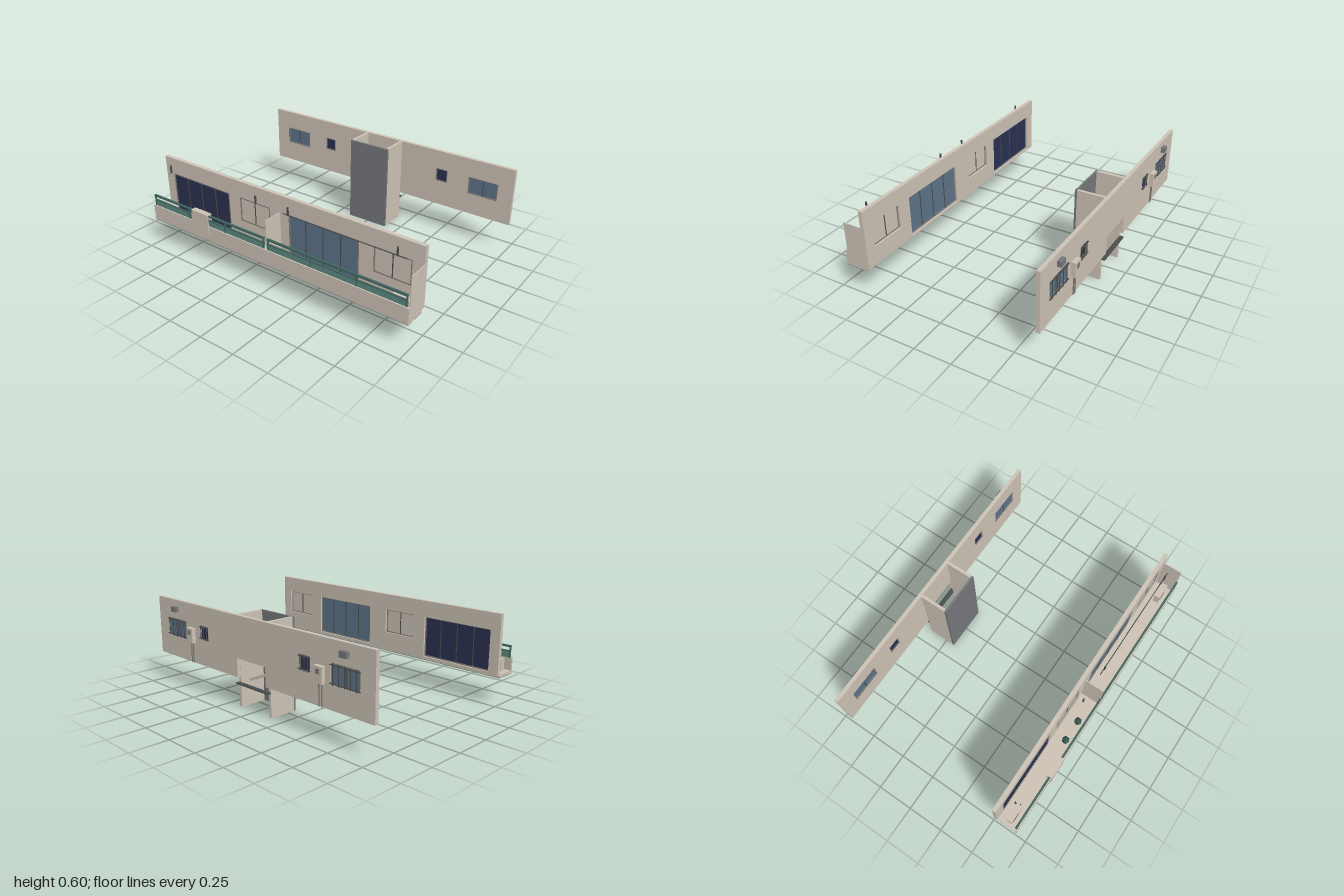
import * as THREE from 'three';

const mat = (name, color, side = THREE.FrontSide) => {
  const m = new THREE.MeshStandardMaterial({ color, side });
  m.name = name;
  return m;
};

export function createModel() {
  const model = new THREE.Group();
  model.name = 'apartmentFloor';
  const M = {
    wall: mat('beige wall', 0xccc2b5),
    concrete: mat('grey concrete', 0x74777a),
    frame: mat('window frame grey', 0x827e76),
    metal: mat('dark metal', 0x4a4d4d),
    navy: mat('navy glass', 0x2b3150),
    blue: mat('blue glass', 0x5c7388),
    teal: mat('teal panel', 0x5d8a81),
    rail: mat('dark teal rail', 0x41655f),
    leaf: mat('leaf green', 0x35574d),
  };

  // box given by its two corners
  const box = (name, m, x0, x1, y0, y1, z0, z1, parent = model) => {
    const mesh = new THREE.Mesh(new THREE.BoxGeometry(x1 - x0, y1 - y0, z1 - z0), m);
    mesh.position.set((x0 + x1) / 2, (y0 + y1) / 2, (z0 + z1) / 2);
    mesh.name = name;
    parent.add(mesh);
    return mesh;
  };

  // flat wall from an outline, with rectangular window holes [x0, x1, y0, y1]
  const wall = (name, outline, holes, z0, z1) => {
    const shape = new THREE.Shape(outline.map(p => new THREE.Vector2(...p)));
    for (const [a, b, c, d] of holes) {
      shape.holes.push(new THREE.Path([[a, c], [a, d], [b, d], [b, c]].map(p => new THREE.Vector2(...p))));
    }
    const geo = new THREE.ExtrudeGeometry(shape, { depth: z1 - z0, bevelEnabled: false });
    const mesh = new THREE.Mesh(geo, M.wall);
    mesh.position.z = z0;
    mesh.name = name;
    model.add(mesh);
  };

  // glazed window: pane, outer frame and upright dividers
  const windowUnit = (name, pane, [x0, x1, y0, y1], panels, zc, depth) => {
    const g = new THREE.Group();
    g.name = name;
    model.add(g);
    const t = 0.007, z0 = zc - depth / 2, z1 = zc + depth / 2;
    box('pane', pane, x0, x1, y0, y1, zc - 0.003, zc + 0.003, g);
    box('frameTop', M.frame, x0, x1, y1 - t, y1, z0, z1, g);
    box('frameBottom', M.frame, x0, x1, y0, y0 + t, z0, z1, g);
    box('frameSide', M.frame, x0, x0 + t, y0, y1, z0, z1, g);
    box('frameSide', M.frame, x1 - t, x1, y0, y1, z0, z1, g);
    for (let i = 1; i < panels; i++) {
      const x = x0 + (x1 - x0) * i / panels;
      box('divider', M.metal, x - 0.003, x + 0.003, y0 + t, y1 - t, zc - 0.006, zc + 0.006, g);
    }
  };

  // front wall and its doors and windows
  const front = [
    ['leftBayDoor', M.navy, [-0.93, -0.42, 0.215, 0.49], 4],
    ['leftBayWindow', M.wall, [-0.325, -0.08, 0.325, 0.49], 2],
    ['rightBayDoor', M.blue, [0.07, 0.58, 0.215, 0.49], 4],
    ['rightBayWindow', M.wall, [0.68, 0.925, 0.325, 0.49], 2],
  ];
  wall('frontWall', [[-1, 0.2], [1, 0.2], [1, 0.6], [-1, 0.6]], front.map(f => f[2]), 0.508, 0.535);
  for (const [name, pane, rect, n] of front) windowUnit(name, pane, rect, n, 0.528, 0.016);

  // balcony trough
  box('balconyFloor', M.wall, -1, 1, 0.183, 0.203, 0.535, 0.667);
  box('balconyUnderside', M.concrete, -1, 1, 0.18, 0.183, 0.535, 0.667);
  box('parapet', M.wall, -1, 1, 0.183, 0.29, 0.667, 0.68);
  box('parapetUnderside', M.concrete, -1, 1, 0.18, 0.183, 0.667, 0.68);
  for (const x of [0, 0.997]) {
    box('partition', M.wall, x - 0.003, x + 0.003, 0.19, 0.485, 0.535, 0.667);
  }

  // railing over the parapet, one run per bay
  for (const [a, b] of [[-0.99, -0.015], [0.01, 0.985]]) {
    box('railingPanel', M.teal, a, b, 0.288, 0.33, 0.666, 0.672);
    box('railingLowerBar', M.rail, a, b, 0.328, 0.334, 0.664, 0.674);
    box('handrail', M.rail, a, b, 0.357, 0.368, 0.662, 0.676);
    for (let i = 0; i < 4; i++) {
      const x = a + 0.005 + (b - a - 0.01) * i / 3;
      box('railingPost', M.rail, x - 0.004, x + 0.004, 0.285, 0.36, 0.664, 0.674);
    }
  }

  // bedding draped over the handrail
  box('beddingFront', M.wall, -0.62, -0.475, 0.23, 0.375, 0.681, 0.688);
  box('beddingTop', M.wall, -0.62, -0.475, 0.368, 0.375, 0.65, 0.681);
  box('beddingBack', M.wall, -0.62, -0.475, 0.28, 0.368, 0.65, 0.657);

  // hanging brackets and drying pole
  for (const x of [-0.885, -0.138, 0.115, 0.865]) {
    box('poleBracket', M.metal, x - 0.004, x + 0.004, 0.525, 0.58, 0.59, 0.6);
  }
  const pole = new THREE.Mesh(new THREE.CylinderGeometry(0.003, 0.003, 0.85, 8), M.metal);
  pole.name = 'dryingPole';
  pole.rotation.z = Math.PI / 2;
  pole.position.set(0.497, 0.525, 0.592);
  model.add(pole);

  // air conditioner units and floor hatches
  for (const x of [-0.915, 0.91]) {
    box('airConditioner', M.wall, x - 0.058, x + 0.058, 0.208, 0.29, 0.588, 0.626);
    const fan = new THREE.Mesh(new THREE.CylinderGeometry(0.03, 0.03, 0.004, 16), M.frame);
    fan.name = 'fanGrille';
    fan.rotation.x = Math.PI / 2;
    fan.position.set(x - 0.015, 0.249, 0.627);
    model.add(fan);
    box('airConditionerPipe', M.metal, x + 0.058, x + 0.075, 0.25, 0.256, 0.604, 0.61);
    for (const s of [-0.04, 0.04]) box('unitFoot', M.frame, x + s - 0.006, x + s + 0.006, 0.2, 0.208, 0.59, 0.625);
  }
  for (const x of [-0.715, 0.725]) box('floorHatch', M.wall, x - 0.067, x + 0.067, 0.203, 0.207, 0.547, 0.63);

  // potted plants
  for (const x of [-0.343, -0.193]) {
    const pot = new THREE.Mesh(new THREE.CylinderGeometry(0.02, 0.015, 0.035, 10), M.frame);
    pot.name = 'plantPot';
    pot.position.set(x, 0.22, 0.62);
    const bush = new THREE.Mesh(new THREE.IcosahedronGeometry(0.027, 0), M.leaf);
    bush.name = 'plantLeaves';
    bush.position.set(x, 0.258, 0.62);
    model.add(pot, bush);
  }

  // back wall, notched at the stair entrance
  const big = s => (s > 0 ? [0.68, 0.895, 0.345, 0.47] : [-0.895, -0.68, 0.345, 0.47]);
  const small = s => (s > 0 ? [0.432, 0.522, 0.375, 0.47] : [-0.522, -0.432, 0.375, 0.47]);
  wall('backWall',
    [[-1, 0.2], [-0.135, 0.2], [-0.135, 0.325], [0.135, 0.325], [0.135, 0.2], [1, 0.2], [1, 0.6], [-1, 0.6]],
    [big(1), small(1), big(-1), small(-1)], -0.657, -0.632);

  // back windows with bars, vent hoods and meters on both sides
  for (const s of [-1, 1]) {
    for (const [name, pane, r, panels, bars] of [
      ['backWindow', M.blue, big(s), 2, 5], ['smallBackWindow', M.navy, small(s), 1, 3]]) {
      windowUnit(name, pane, r, panels, -0.645, 0.02);
      for (let i = 0; i < bars; i++) {
        const x = r[0] + (r[1] - r[0]) * (i + 0.5) / bars;
        box('windowBar', M.metal, x - 0.002, x + 0.002, r[2], r[3], -0.664, -0.66);
      }
      for (const y of [r[2] + 0.008, r[3] - 0.012]) {
        box('barRail', M.metal, r[0] - 0.004, r[1] + 0.004, y, y + 0.004, -0.664, -0.656);
      }
    }
    const hx = s * 0.79, mx = s * 0.608;
    box('ventHood', M.concrete, hx - 0.026, hx + 0.026, 0.52, 0.556, -0.683, -0.657);
    box('meterBox', M.wall, mx - 0.032, mx + 0.032, 0.34, 0.44, -0.685, -0.657);
    box('meterPanel', M.frame, mx - 0.014, mx + 0.014, 0.395, 0.425, -0.688, -0.685);
    for (const d of [-0.012, 0.008]) {
      box('meterPipe', M.frame, mx + d - 0.003, mx + d + 0.003, 0.203, 0.34, -0.668, -0.662);
    }
  }

  // stair shaft, open at top and bottom
  for (const s of [-1, 1]) {
    box('shaftSide', M.wall, s * 0.143 - 0.01, s * 0.143 + 0.01, 0, 0.6, -0.632, -0.449);
  }
  box('shaftFront', M.concrete, -0.153, 0.153, 0, 0.6, -0.449, -0.435);
  box('entranceCanopy', M.metal, -0.153, 0.153, 0.156, 0.164, -0.66, -0.63);

  // sloping stair flight
  const flight = box('stairFlight', M.wall, -0.138, 0.138, 0.212, 0.228, -0.57, -0.46);
  flight.rotation.z = -0.4;
  return model;
}
